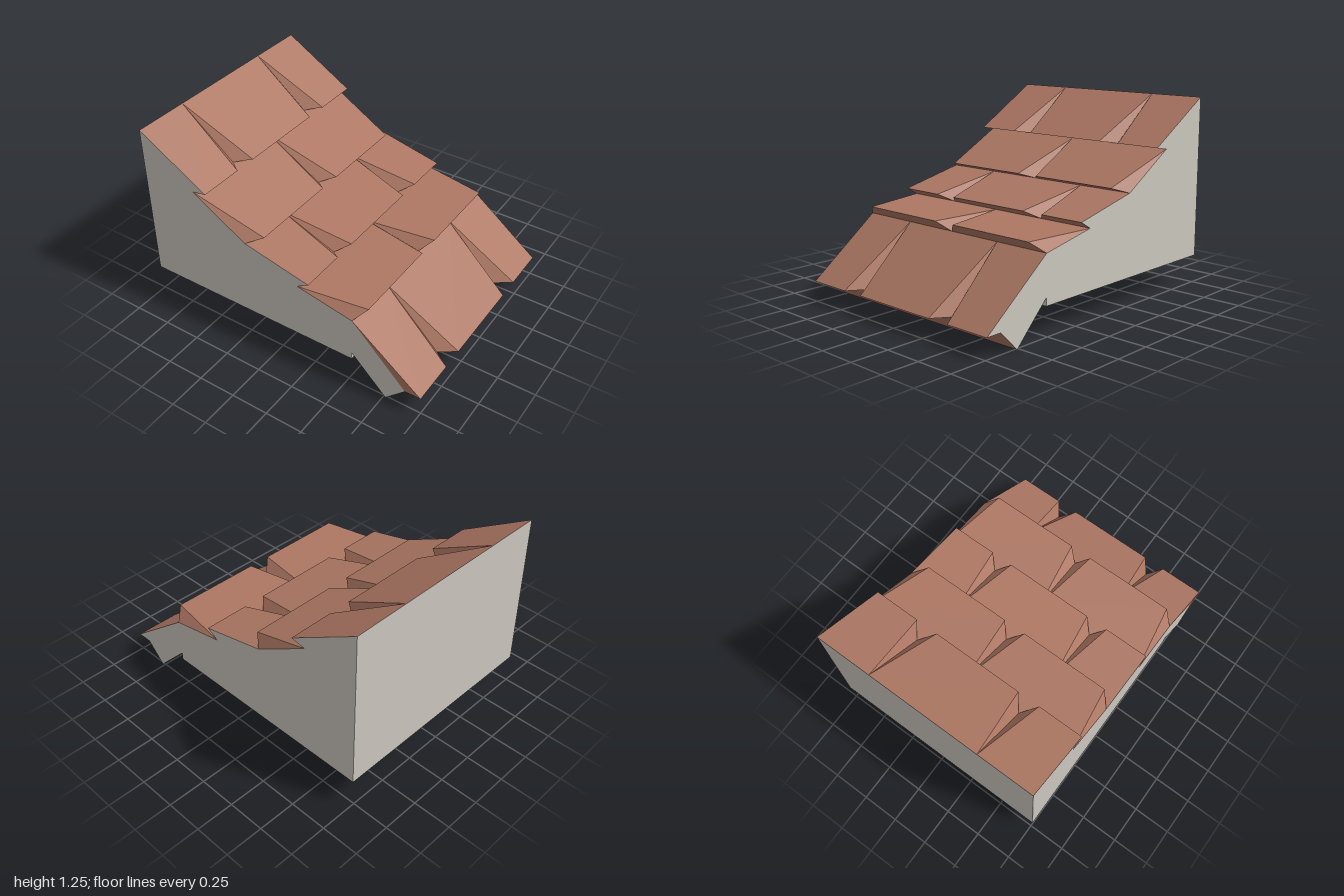
import * as THREE from 'three';

const D = 0.762;      // half depth of the roof section
const NOTCH = 0.076;  // half width of the V notch at a shingle's lip

const clay = new THREE.MeshStandardMaterial({ color: 0xad7763 });
clay.name = 'clay brown';
const stone = new THREE.MeshStandardMaterial({ color: 0xcdc9c0 });
stone.name = 'plaster grey';

// Flat-shaded mesh from convex polygons (counter-clockwise corners)
function facets(name, polygons, material) {
  const pos = [];
  for (const p of polygons) {
    for (let i = 1; i < p.length - 1; i++) pos.push(...p[0], ...p[i], ...p[i + 1]);
  }
  const g = new THREE.BufferGeometry();
  g.setAttribute('position', new THREE.Float32BufferAttribute(pos, 3));
  g.computeVertexNormals();
  const mesh = new THREE.Mesh(g, material);
  mesh.name = name;
  return mesh;
}

const at = ([x, y], z) => [x, y, z];

// Full-depth strip from profile point p to q
const strip = (p, q) => [at(p, -D), at(p, D), at(q, D), at(q, -D)];

// Row start points; each row's underside ends where the next row starts
const base = [[-1, 1.255], [-0.62, 0.953], [-0.24, 0.725], [0.14, 0.572], [0.525, 0.497], [0.895, 0.13]];
const lip = [[-0.52, 0.97], [-0.15, 0.757], [0.222, 0.62], [0.592, 0.56], [1, 0.13]];

// One row of shingles with V notches between neighbours
function shingleRow(i) {
  const A = base[i], B = base[i + 1], L = lip[i];
  const staggered = i % 2 === 1;
  const joints = staggered ? [-D, 0, D] : [-D, -D / 2, D / 2, D];
  const notched = (z) => staggered || Math.abs(z) < D - 0.01;
  const polys = [];
  for (let k = 0; k < joints.length - 1; k++) {
    const z0 = joints[k], z1 = joints[k + 1];
    const l0 = z0 + (notched(z0) ? NOTCH : 0);
    const l1 = z1 - (notched(z1) ? NOTCH : 0);
    polys.push([at(A, z0), at(A, z1), at(L, l1), at(L, l0)]);  // top
    polys.push([at(L, l0), at(L, l1), at(B, z1), at(B, z0)]);  // underside of the lip
    if (notched(z0)) polys.push([at(A, z0), at(L, l0), at(B, z0)]);
    if (notched(z1)) polys.push([at(A, z1), at(B, z1), at(L, l1)]);
  }
  return facets('shingleRow' + (i + 1), polys, clay);
}

export function createModel() {
  const roof = new THREE.Group();
  roof.name = 'roofSection';

  for (let i = 0; i < lip.length; i++) roof.add(shingleRow(i));

  // Eave below the last row
  const tip = [0.765, 0], inner = [0.525, 0.24], foot = [0.525, 0.19], heel = [-1, 0.19];
  const eave = base[5];
  roof.add(facets('eaveEdge', [strip(eave, tip)], clay));
  roof.add(facets('soffit', [strip(tip, inner)], clay));
  roof.add(facets('lastRowEnd', [[at(base[4], D), at(eave, D), at(lip[4], D)]], clay));

  // Plain body faces
  roof.add(facets('wallStrip', [strip(inner, foot)], stone));
  roof.add(facets('bottom', [strip(foot, heel)], stone));
  roof.add(facets('rearWall', [strip(heel, base[0])], stone));

  // Gable ends follow the stepped profile
  const gable = (name, lastLip) => {
    const pts = [base[0], lip[0], base[1], base[2], lip[2], base[3], base[4]];
    if (lastLip) pts.push(lip[4]);
    pts.push(eave, tip, inner, foot, heel);
    const shape = new THREE.Shape(pts.map(([x, y]) => new THREE.Vector2(x, y)));
    const mesh = new THREE.Mesh(new THREE.ShapeGeometry(shape), stone);
    mesh.name = name;
    return mesh;
  };
  const front = gable('frontGable', false);
  front.position.z = D;
  roof.add(front);

  const back = gable('backGable', true);
  // Reverse the winding so this end faces -z
  const index = back.geometry.index;
  for (let i = 0; i < index.count; i += 3) {
    const a = index.getX(i);
    index.setX(i, index.getX(i + 2));
    index.setX(i + 2, a);
  }
  back.geometry.computeVertexNormals();
  back.position.z = -D;
  roof.add(back);

  return roof;
}
